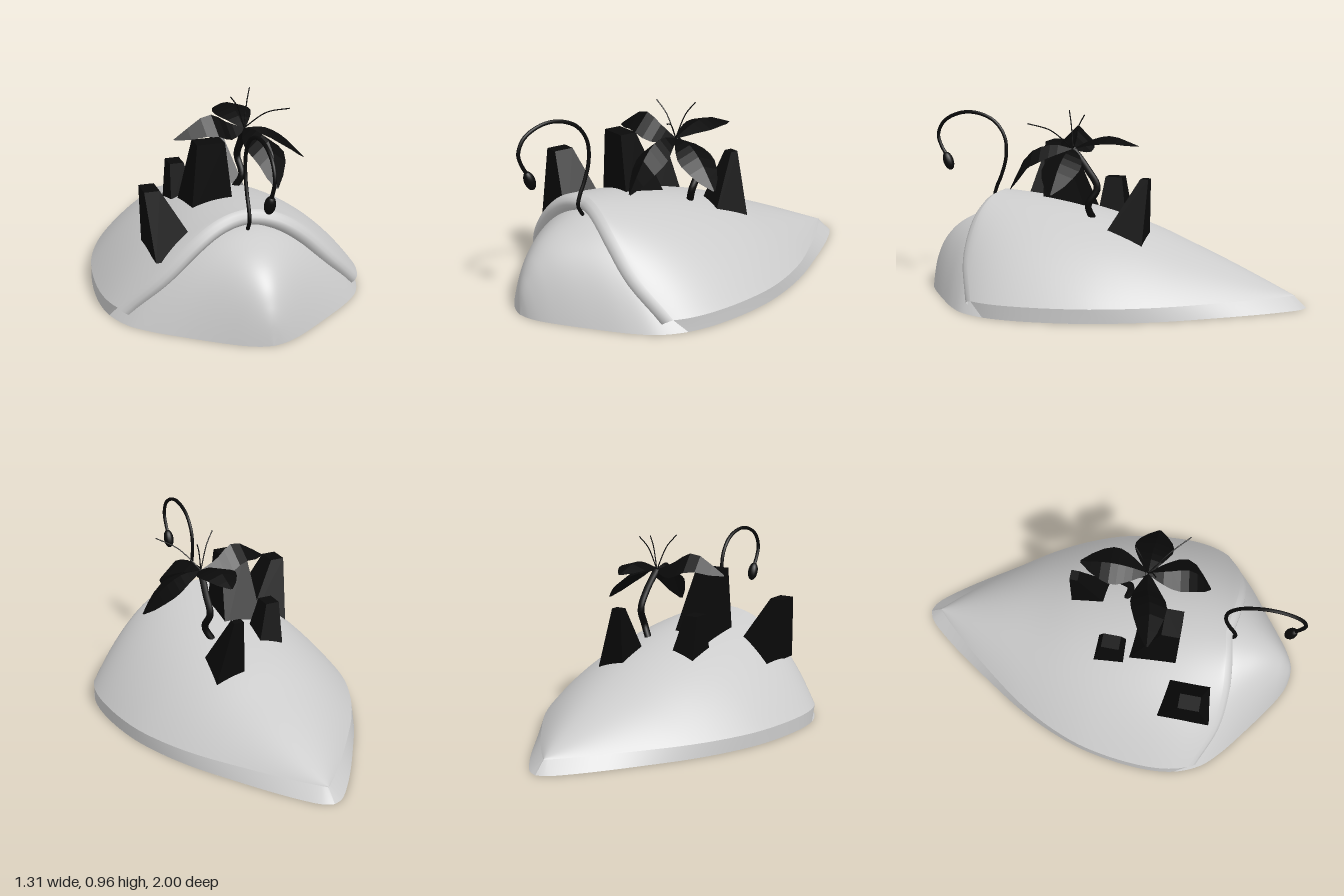
import * as THREE from 'three';

const grey = new THREE.MeshStandardMaterial({ color: 0xcccccc, side: THREE.DoubleSide });
const black = new THREE.MeshStandardMaterial({ color: 0x0a0a0a, side: THREE.DoubleSide, flatShading: true });
const blackSmooth = new THREE.MeshStandardMaterial({ color: 0x0a0a0a });
const V = (x, y, z) => new THREE.Vector3(x, y, z);
const lerp = THREE.MathUtils.lerp;

// Smooth (Hermite) interpolation through [position, value] pairs
function profile(points) {
  const slope = (i) => {
    const a = points[Math.max(i - 1, 0)], b = points[Math.min(i + 1, points.length - 1)];
    return (b[1] - a[1]) / (b[0] - a[0]);
  };
  return (p) => {
    let i = 0;
    while (i < points.length - 2 && p > points[i + 1][0]) i++;
    const [x0, y0] = points[i], [x1, y1] = points[i + 1], d = x1 - x0;
    const t = THREE.MathUtils.clamp((p - x0) / d, 0, 1), t2 = t * t, t3 = t2 * t;
    return (2 * t3 - 3 * t2 + 1) * y0 + (t3 - 2 * t2 + t) * d * slope(i)
      + (3 * t2 - 2 * t3) * y1 + (t3 - t2) * d * slope(i + 1);
  };
}

const outline = profile([[-1, 0], [-0.985, 0.04], [-0.94, 0.09], [-0.8, 0.2], [-0.6, 0.335], [-0.4, 0.46],
  [-0.2, 0.555], [0, 0.62], [0.25, 0.655], [0.45, 0.645], [0.6, 0.585], [0.7, 0.49], [0.8, 0.36],
  [0.9, 0.22], [0.96, 0.125], [0.99, 0.055], [1, 0]]);
const ridge = profile([[-0.94, 0.06], [-0.6, 0.205], [-0.4, 0.285], [-0.2, 0.365], [0, 0.425], [0.2, 0.47],
  [0.4, 0.5], [0.62, 0.522]]);
const rim = profile([[-0.94, 0.058], [-0.6, 0.065], [0, 0.07], [0.65, 0.07]]);
const headTop = profile([[0.4, 0.43], [0.62, 0.43], [0.75, 0.39], [0.85, 0.335], [0.92, 0.265], [0.96, 0.195],
  [0.99, 0.105], [1, 0]]);
const frontEdge = profile([[0, 0.605], [0.3, 0.63], [0.55, 0.64], [0.8, 0.62], [1, 0.54]]);

// Rectangular grid of points given by a rule
function grid(rows, cols, rule) {
  const pos = [], index = [];
  for (let i = 0; i <= rows; i++) {
    for (let j = 0; j <= cols; j++) pos.push(...rule(i, j).toArray());
  }
  for (let i = 0; i < rows; i++) {
    for (let j = 0; j < cols; j++) {
      const a = i * (cols + 1) + j, b = a + cols + 1;
      index.push(a, b, a + 1, a + 1, b, b + 1);
    }
  }
  const g = new THREE.BufferGeometry();
  g.setAttribute('position', new THREE.Float32BufferAttribute(pos, 3));
  g.setIndex(index);
  g.computeVertexNormals();
  return g;
}

const ROWS = 48, COLS = 40;
const ease = (t) => (1 - Math.cos(Math.PI * t)) / 2;

// Point on the arched mantle, u across and t from tail to front
function mantlePoint(u, t) {
  const z = lerp(-0.94, frontEdge(Math.abs(u)), t);
  const s = Math.max(0, -z / 0.94), w = outline(z) - 0.09 * s * s;
  const e = rim(z), rise = ridge(z) - e, a = Math.abs(u);
  const slope = w > 0.01 ? -rise * 2.1 * a ** 1.1 * Math.sign(u) / w : 0;
  return { p: V(u * w, e + rise * (1 - a ** 2.1), z), inward: V(slope, -1, 0).normalize() };
}

function createBody() {
  const body = new THREE.Group();
  body.name = 'body';
  const add = (name, geometry) => {
    const m = new THREE.Mesh(geometry, grey);
    m.name = name;
    body.add(m);
  };
  // Mantle with a lip rolled under along its front: [forward, inward]
  const lip = [[0.02, 0.01], [0.035, 0.028], [0.036, 0.05], [0.02, 0.07], [-0.02, 0.085], [-0.08, 0.09]];
  add('mantle', grid(ROWS + lip.length, COLS, (i, j) => {
    const { p, inward } = mantlePoint(j / COLS * 2 - 1, ease(Math.min(i / ROWS, 1)));
    if (i > ROWS) {
      const [forward, depth] = lip[i - ROWS - 1];
      p.addScaledVector(inward, depth).add(V(0, 0, forward));
      p.y = Math.max(p.y, 0);
    }
    return p;
  }));
  // Low side walls from the mantle's edge to the ground
  for (const side of [-1, 1]) {
    add(side > 0 ? 'leftWall' : 'rightWall', grid(ROWS, 1, (i, j) => {
      const t = ease(i / ROWS), z = lerp(-1, 0.47, t);
      return (side < 0) === (j === 0) ? V(side * outline(z), 0, z) : mantlePoint(side, t).p;
    }));
  }
  add('head', grid(ROWS, COLS, (i, j) => {
    const z = lerp(0.4, 1, Math.sin(i / ROWS * Math.PI / 2)), u = j / COLS * 2 - 1;
    return V(u * outline(z), headTop(z) * (1 - Math.abs(u) ** 2.1), z);
  }));
  add('sole', grid(80, 1, (i, j) => {
    const z = lerp(-1, 1, ease(i / 80));
    return V((j ? -1 : 1) * outline(z), 0, z);
  }));
  return body;
}

// Tapered block between two rectangles [x0, x1, z0, z1, y]
function rock(name, base, top) {
  const g = new THREE.BoxGeometry(1, 1, 1), p = g.attributes.position;
  for (let i = 0; i < p.count; i++) {
    const r = p.getY(i) > 0 ? top : base;
    p.setXYZ(i, r[p.getX(i) > 0 ? 1 : 0], r[4], r[p.getZ(i) > 0 ? 3 : 2]);
  }
  g.computeVertexNormals();
  const m = new THREE.Mesh(g, black);
  m.name = name;
  return m;
}

function tube(name, points, radius, sides = 8) {
  const curve = new THREE.CatmullRomCurve3(points);
  const m = new THREE.Mesh(new THREE.TubeGeometry(curve, points.length * 6, radius, sides), blackSmooth);
  m.name = name;
  return m;
}

// Folded leaf along a curve; its edges droop below the midrib
function leaf(points, width, droop) {
  const curve = new THREE.CatmullRomCurve3(points);
  const along = points[points.length - 1].clone().sub(points[0]).setY(0).normalize();
  const across = V(along.z, 0, -along.x);
  const shape = profile([[0, 0.06], [0.25, 0.6], [0.55, 1], [0.8, 0.72], [1, 0.06]]);
  const m = new THREE.Mesh(grid(8, 2, (i, j) => {
    const k = shape(i / 8);
    return curve.getPoint(i / 8).addScaledVector(across, (j - 1) * k * width)
      .add(V(0, -Math.abs(j - 1) * k * droop, 0));
  }), black);
  m.name = 'leaf';
  return m;
}

function createPalm() {
  const palm = new THREE.Group(), crown = V(0.14, 0.77, 0.17);
  palm.name = 'palm';
  palm.add(tube('trunk', [V(0.12, 0.41, 0.07), V(0.16, 0.49, 0.085), V(0.15, 0.58, 0.04),
    V(0.15, 0.67, 0.09), crown], 0.018));
  palm.add(
    leaf([crown, V(0.05, 0.81, 0.18), V(-0.06, 0.87, 0.21), V(-0.24, 0.77, 0.23)], 0.09, 0.09),
    leaf([crown, V(0.24, 0.765, 0.17), V(0.34, 0.71, 0.175), V(0.46, 0.585, 0.18)], 0.1, 0.035),
    leaf([crown, V(0.16, 0.79, 0.27), V(0.2, 0.75, 0.38), V(0.2, 0.56, 0.49)], 0.09, 0.07),
    leaf([crown, V(0.135, 0.82, 0.07), V(0.13, 0.84, -0.03), V(0.13, 0.795, -0.17)], 0.1, 0.03));
  // Fine stalks rising from the crown
  for (const tip of [V(0.05, 0.955, 0.22), V(0.195, 0.95, 0.09), V(0.31, 0.91, 0.35)]) {
    const mid = crown.clone().lerp(tip, 0.5).add(V(0, 0.03, 0));
    palm.add(tube('stalk', [crown, mid, tip], 0.003, 5));
  }
  return palm;
}

function createLure() {
  const lure = new THREE.Group();
  lure.name = 'lure';
  const path = [[0.43, 0.63], [0.48, 0.655], [0.53, 0.645], [0.6, 0.615], [0.7, 0.588], [0.8, 0.595], [0.88, 0.65],
    [0.922, 0.75], [0.918, 0.85], [0.87, 0.94], [0.8, 0.972], [0.74, 0.955], [0.69, 0.925]];
  lure.add(tube('lureStem', path.map(([y, z]) => V(0, y, z)), 0.0095));
  const bulb = new THREE.Mesh(new THREE.SphereGeometry(1, 16, 12), blackSmooth);
  bulb.name = 'lureBulb';
  bulb.scale.set(0.027, 0.05, 0.027);
  bulb.position.set(0, 0.662, 0.917);
  bulb.rotation.x = 0.35;
  lure.add(bulb);
  return lure;
}

export function createModel() {
  const model = new THREE.Group();
  model.name = 'creature';
  model.add(createBody(), createPalm(), createLure());
  model.add(
    rock('sideRock', [-0.44, -0.2, 0.33, 0.6, 0.3], [-0.475, -0.4, 0.43, 0.535, 0.635]),
    rock('tallRock', [-0.2, 0.02, 0.13, 0.38, 0.4], [-0.17, -0.03, 0.29, 0.38, 0.78]),
    rock('smallRock', [-0.225, -0.09, -0.04, 0.12, 0.37], [-0.222, -0.15, 0, 0.09, 0.59]),
    rock('backRock', [0.08, 0.24, -0.215, 0.02, 0.29], [0.088, 0.14, -0.222, -0.18, 0.63]));
  return model;
}
